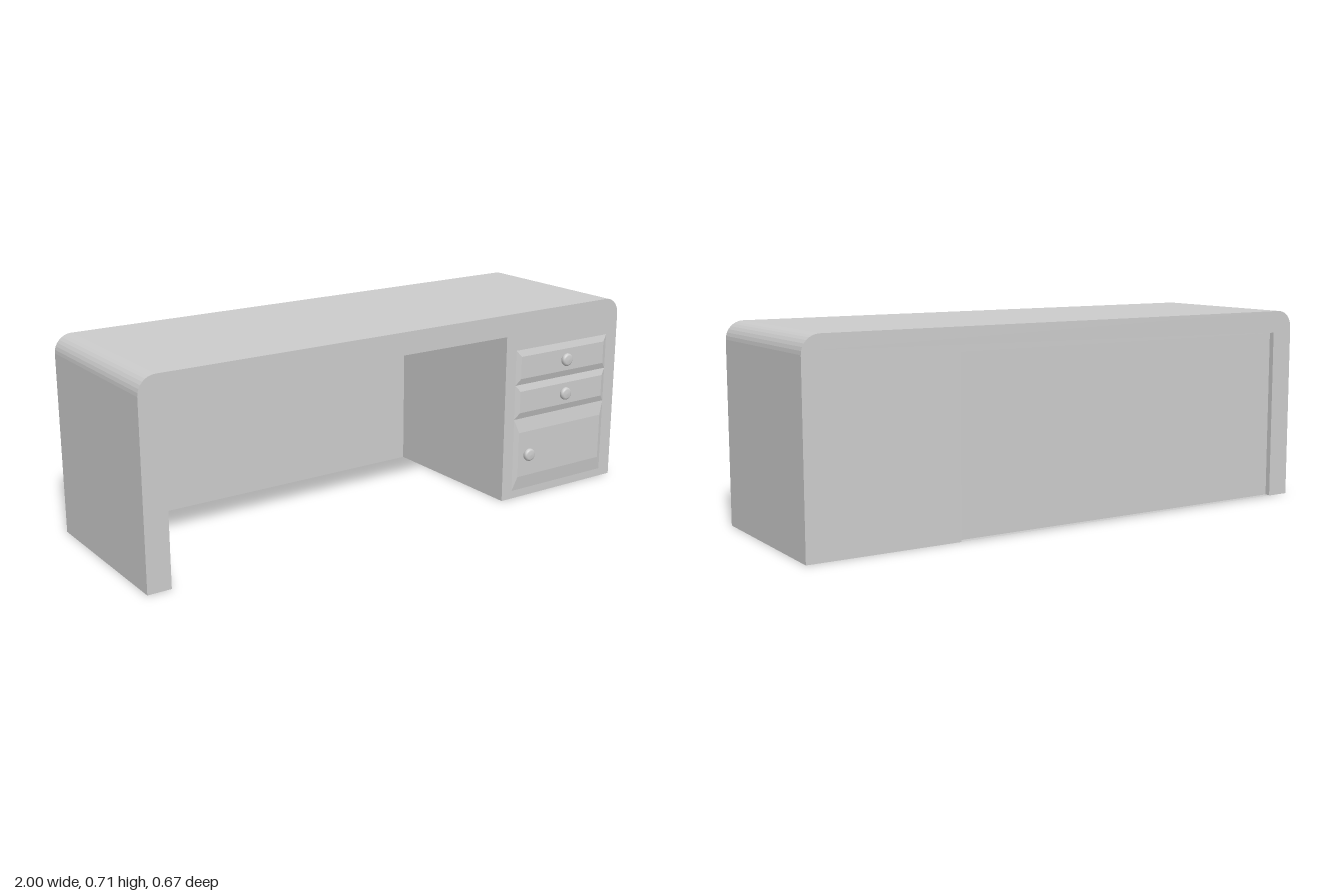
import * as THREE from 'three';

const FRONT = 0.302, BACK = -0.333, H = 0.708, R = 0.063;
const HOLE = { x0: -0.915, x1: 0.45, top: 0.627 };

const material = new THREE.MeshStandardMaterial({ color: 0xcccccc });
const thin = new THREE.MeshStandardMaterial({ color: 0xcccccc, side: THREE.DoubleSide });

function part(name, geometry, mat = material) {
  const mesh = new THREE.Mesh(geometry, mat);
  mesh.name = name;
  return mesh;
}

// Drawer front: a shallow box whose front face is pulled in to form sloped edges
function drawerFront(y0, y1, slope) {
  const w = 0.45, h = y1 - y0, d = 0.008, side = 0.02;
  const g = new THREE.BoxGeometry(w, h, d);
  const p = g.attributes.position;
  for (let i = 0; i < p.count; i++) {
    if (p.getZ(i) < 0) continue;
    p.setX(i, p.getX(i) - Math.sign(p.getX(i)) * side);
    p.setY(i, p.getY(i) - Math.sign(p.getY(i)) * slope);
  }
  g.computeVertexNormals();
  g.translate(0.722, (y0 + y1) / 2, FRONT + d / 2);
  return g;
}

export function createModel() {
  const desk = new THREE.Group();
  desk.name = 'desk';

  // Body: rounded top corners, open kneehole, solid pedestal on its left
  const s = new THREE.Shape();
  s.moveTo(-1, 0);
  s.lineTo(HOLE.x0, 0);
  s.lineTo(HOLE.x0, HOLE.top);
  s.lineTo(HOLE.x1, HOLE.top);
  s.lineTo(HOLE.x1, 0);
  s.lineTo(1, 0);
  s.lineTo(1, H - R);
  s.absarc(1 - R, H - R, R, 0, Math.PI / 2, false);
  s.lineTo(-1 + R, H);
  s.absarc(-1 + R, H - R, R, Math.PI / 2, Math.PI, false);
  s.closePath();
  const body = new THREE.ExtrudeGeometry(s, { depth: FRONT - BACK, bevelEnabled: false, curveSegments: 4 });
  body.translate(0, 0, BACK);
  desk.add(part('body', body));

  // Recessed modesty panel and the narrow sill behind it
  const w = HOLE.x1 - HOLE.x0, cx = (HOLE.x0 + HOLE.x1) / 2, recess = 0.02;
  const panel = part('modestyPanel', new THREE.PlaneGeometry(w, HOLE.top), thin);
  panel.position.set(cx, HOLE.top / 2, BACK + recess);
  const sill = part('panelSill', new THREE.PlaneGeometry(w, recess).rotateX(-Math.PI / 2), thin);
  sill.position.set(cx, 0.001, BACK + recess / 2);
  desk.add(panel, sill);

  // Knob profile: short neck, then a rounded disc
  const knob = new THREE.LatheGeometry([
    [0.014, 0], [0.014, 0.004], [0.019, 0.005], [0.0225, 0.008], [0.024, 0.013],
    [0.0235, 0.018], [0.021, 0.022], [0.016, 0.024], [0, 0.025],
  ].map(([r, y]) => new THREE.Vector2(r, y)), 20).rotateX(Math.PI / 2);

  // Drawers from top to bottom, each with a knob
  const drawers = [
    { name: 'topDrawer', y0: 0.438, y1: 0.57, slope: 0.024, knob: [0.73, 0.507] },
    { name: 'middleDrawer', y0: 0.308, y1: 0.438, slope: 0.024, knob: [0.73, 0.376] },
    { name: 'bottomDrawer', y0: 0.03, y1: 0.308, slope: 0.053, knob: [0.56, 0.167] },
  ];
  for (const d of drawers) {
    const drawer = new THREE.Group();
    drawer.name = d.name;
    const handle = part('knob', knob);
    handle.position.set(...d.knob, 0.308);
    drawer.add(part('drawerFront', drawerFront(d.y0, d.y1, d.slope)), handle);
    desk.add(drawer);
  }
  return desk;
}
